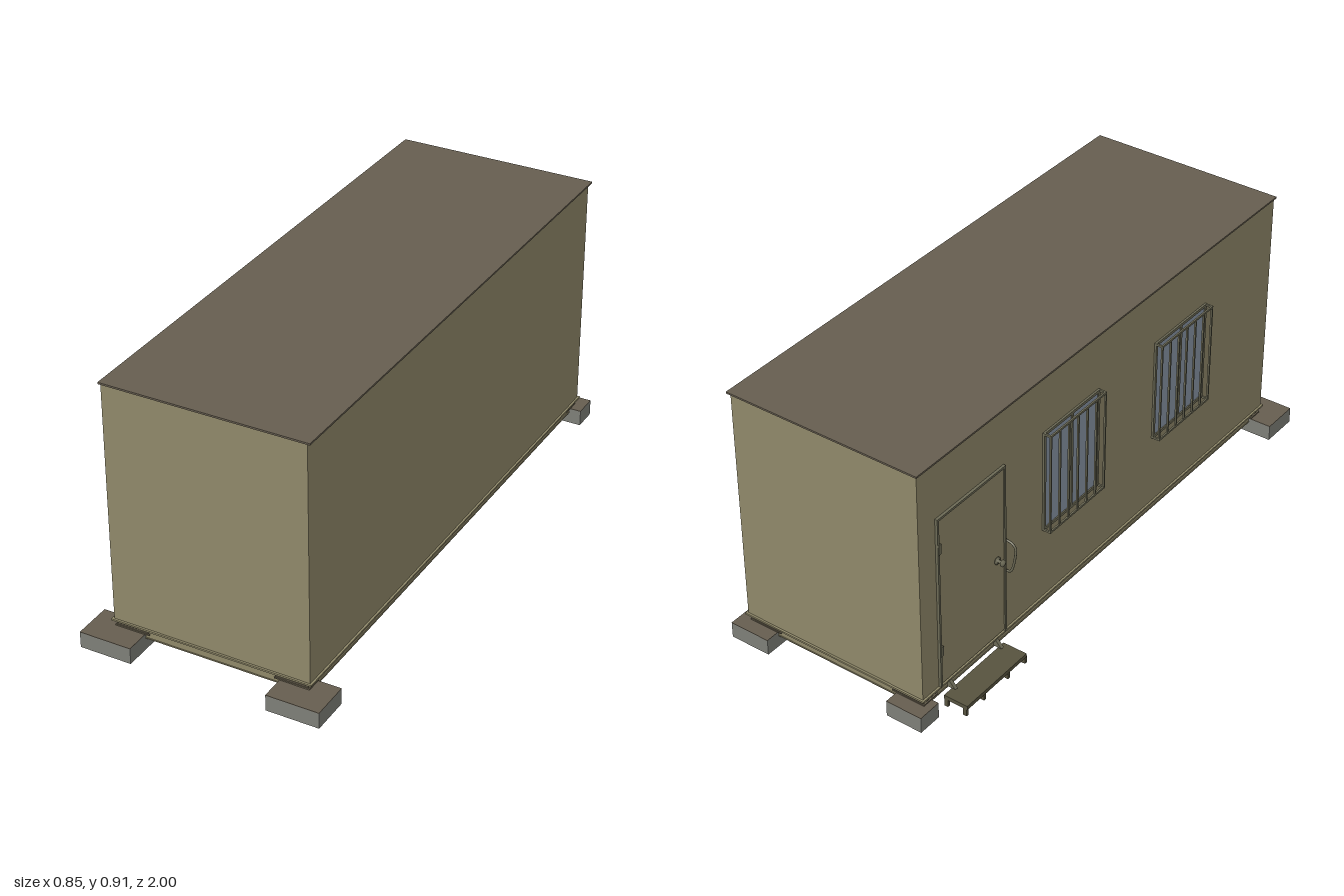
import * as THREE from 'three';

const mat = (name, color, side = THREE.FrontSide) => {
  const m = new THREE.MeshStandardMaterial({ color, side });
  m.name = name;
  return m;
};

export function createModel() {
  const root = new THREE.Group();
  root.name = 'portableCabin';
  const wall = mat('khaki wall', 0x8f8869, THREE.DoubleSide);
  const roofMat = mat('brown roof', 0x665e50);
  const concrete = mat('grey concrete', 0x7e7f78, THREE.DoubleSide);
  const timber = mat('dark timber', 0x69614f);
  const metal = mat('olive grey metal', 0x6c6a56);
  const glass = mat('blue grey glass', 0x8995a5);
  const stepMat = mat('dark step', 0x57533f);

  const add = (name, geo, material, parent = root) => {
    const mesh = new THREE.Mesh(geo, material);
    mesh.name = name;
    parent.add(mesh);
    return mesh;
  };
  // Box given by its limits along each axis; it may be left open underneath
  const box = (name, x0, x1, y0, y1, z0, z1, material, parent = root, open = false) => {
    const g = new THREE.BoxGeometry(x1 - x0, y1 - y0, z1 - z0);
    if (open) {
      const idx = Array.from(g.index.array);
      idx.splice(18, 6);
      g.setIndex(idx);
      g.clearGroups();
    }
    g.translate((x0 + x1) / 2, (y0 + y1) / 2, (z0 + z1) / 2);
    return add(name, g, material, parent);
  };
  const group = (name) => {
    const g = new THREE.Group();
    g.name = name;
    root.add(g);
    return g;
  };

  // Shell, open underneath, and thin overhanging roof
  box('walls', -0.33, 0.352, 0.082, 0.904, -0.957, 0.922, wall, root, true);
  box('roof', -0.337, 0.362, 0.904, 0.91, -0.965, 0.926, roofMat);

  // Channel frame around the base: lip, web and lower flange on each side
  const frame = group('baseFrame');
  const ring = (name, y0, y1, o, w) => {
    const x0 = -0.33 - o, x1 = 0.352 + o, z0 = -0.957 - o, z1 = 0.922 + o;
    box(name, x0, x0 + w, y0, y1, z0, z1, wall, frame);
    box(name, x1 - w, x1, y0, y1, z0, z1, wall, frame);
    box(name, x0 + w, x1 - w, y0, y1, z0, z0 + w, wall, frame);
    box(name, x0 + w, x1 - w, y0, y1, z1 - w, z1, wall, frame);
  };
  ring('frameLip', 0.078, 0.084, 0.007, 0.035);
  ring('frameWeb', 0.044, 0.078, -0.01, 0.006);
  ring('frameFlange', 0.04, 0.044, -0.008, 0.025);

  // Hollow concrete blocks with dirty tops, and stacked packing boards
  const blocks = [
    [-0.405, -0.225, 0.865, 1.0], [0.245, 0.425, 0.865, 1.0],
    [-0.355, -0.225, -1.0, -0.915], [0.24, 0.385, -1.0, -0.915],
  ];
  blocks.forEach(([x0, x1, z0, z1]) => {
    const foot = group('foot');
    box('concreteBlock', x0, x1, 0, 0.054, z0, z1, concrete, foot, true);
    box('blockTop', x0, x1, 0.054, 0.056, z0, z1, roofMat, foot);
    const left = x0 < 0, front = z0 > 0;
    for (let i = 0; i < 4; i++) {
      const s = 0.004 * i;
      const a = left ? -0.33 + Math.min(s, 0.008) : 0.226 + s;
      const b = left ? -0.21 - s : 0.347 - Math.min(s, 0.008);
      const c = front ? 0.866 + s : -0.953 + s * 0.5;
      const d = front ? 0.918 - s * 0.5 : -0.885 - s;
      box('packingBoard', a, b, 0.056 + i * 0.0055, 0.0605 + i * 0.0055, c, d, timber, foot);
    }
  });

  // Door with a raised surround
  const door = group('door');
  box('doorLeaf', -0.335, -0.326, 0.09, 0.7, -0.872, -0.562, wall, door);
  for (const z of [-0.88, -0.562])
    box('doorJamb', -0.339, -0.325, 0.084, 0.7, z, z + 0.008, metal, door);
  box('doorHead', -0.339, -0.325, 0.7, 0.708, -0.88, -0.554, metal, door);
  for (const y of [0.2, 0.58])
    box('hinge', -0.341, -0.335, y, y + 0.035, -0.878, -0.866, metal, door);

  // Bent grab handle beside the door, and the door knob
  const path = new THREE.CatmullRomCurve3([
    [-0.33, 0.428], [-0.355, 0.425], [-0.369, 0.412], [-0.37, 0.39],
    [-0.358, 0.33], [-0.35, 0.316], [-0.33, 0.311],
  ].map(([x, y]) => new THREE.Vector3(x, y, -0.55)));
  add('grabHandle', new THREE.TubeGeometry(path, 24, 0.004, 8), metal, door);
  const knob = new THREE.LatheGeometry([
    [0, 0], [0.013, 0], [0.013, 0.004], [0.005, 0.006], [0.005, 0.016],
    [0.011, 0.02], [0.011, 0.027], [0, 0.031],
  ].map(([r, h]) => new THREE.Vector2(r, h)), 14);
  knob.rotateZ(Math.PI / 2);
  add('doorKnob', knob, metal, door).position.set(-0.335, 0.38, -0.597);

  // Windows: two panes seen from both sides, and a projecting barred cage
  [[-0.36, -0.07], [0.235, 0.525]].forEach(([z0, z1]) => {
    const win = group('barredWindow');
    const y0 = 0.342, y1 = 0.706, mid = (z0 + z1) / 2;
    box('glass', -0.333, -0.327, y0 + 0.01, y1 - 0.01, z0 + 0.01, z1 - 0.01, glass, win);
    for (const z of [z0, mid - 0.005, z1 - 0.01])
      box('windowUpright', -0.337, -0.323, y0, y1, z, z + 0.01, metal, win);
    for (const y of [y0, y1 - 0.01])
      box('windowRail', -0.337, -0.323, y, y + 0.01, z0, z1, metal, win);
    for (const y of [y0, y1 - 0.007]) {
      box('cageRail', -0.361, -0.355, y, y + 0.007, z0, z1, metal, win);
      for (const z of [z0, z1 - 0.006])
        box('cageArm', -0.357, -0.33, y, y + 0.007, z, z + 0.006, metal, win);
    }
    for (let i = 0; i < 7; i++) {
      const z = z0 + (i / 6) * (z1 - z0 - 0.006);
      box('cageBar', -0.361, -0.355, y0, y1, z, z + 0.006, metal, win);
    }
  });

  // Entrance step with short legs and a sloping sill bracket
  const step = group('entranceStep');
  box('stepBoard', -0.425, -0.338, 0.03, 0.044, -0.867, -0.57, stepMat, step);
  for (const z of [-0.867, -0.781, -0.661, -0.574])
    for (const x of [-0.422, -0.352])
      box('stepLeg', x, x + 0.013, 0.004, 0.03, z, z + 0.01, stepMat, step);
  const tri = new THREE.Shape([[-0.36, 0.056], [-0.33, 0.056], [-0.33, 0.08], [-0.338, 0.08]]
    .map(([x, y]) => new THREE.Vector2(x, y)));
  for (const z of [-0.84, -0.61])
    add('sillBracket', new THREE.ExtrudeGeometry(tri, { depth: 0.012, bevelEnabled: false }),
      metal, step).position.z = z;

  return root;
}
